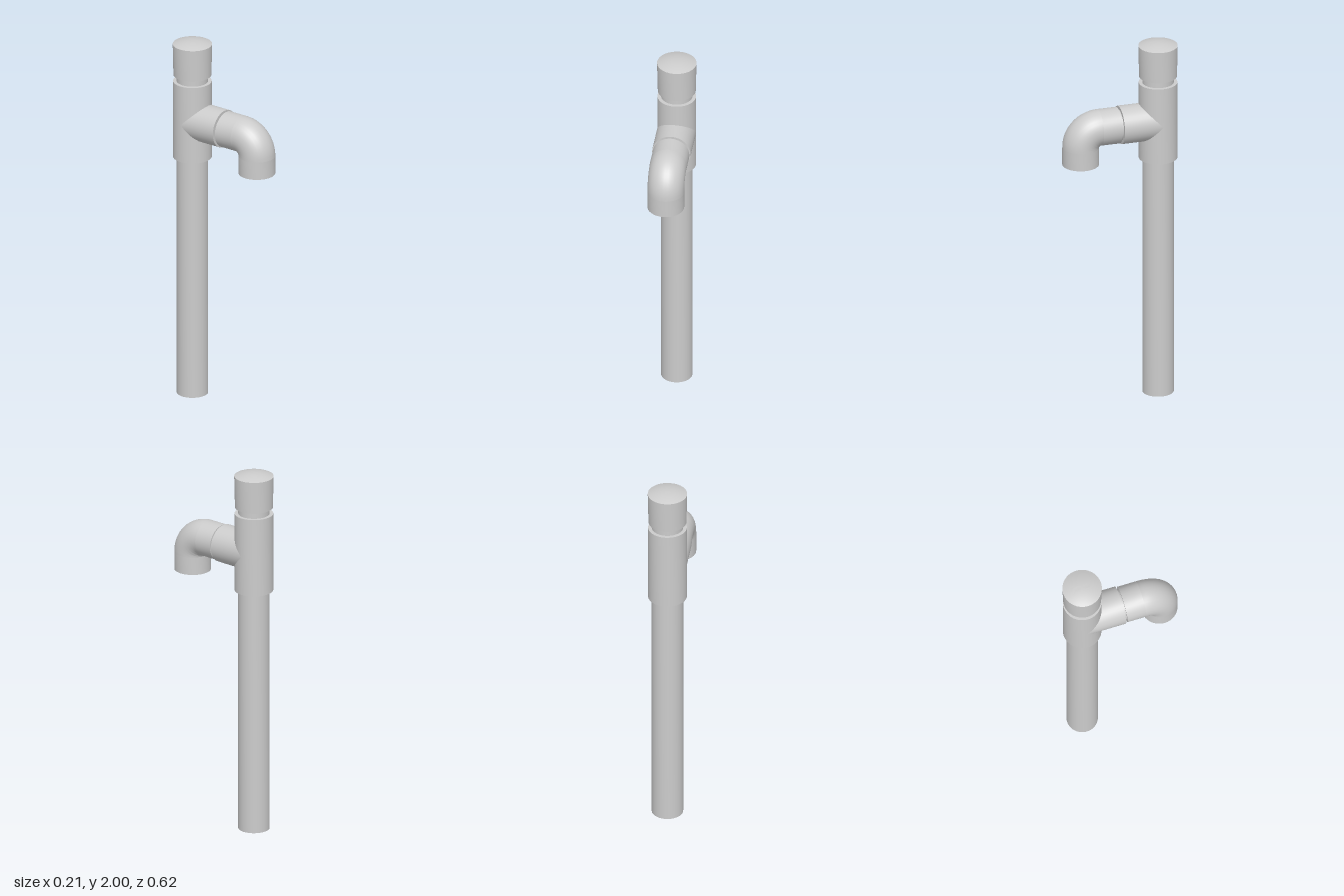
import * as THREE from 'three';
import { toCreasedNormals } from 'three/addons/utils/BufferGeometryUtils.js';

const SIDES = 32;
const PIPE_Z = -0.208; // axis of the upright pipe
const ARM_Y = 1.55; // axis of the side branch
const BORE = 0.072, PIPE_R = 0.083, TEE_R = 0.102, ELBOW_R = 0.097, BEND = 0.1;

const material = new THREE.MeshStandardMaterial({ color: 0xcccccc, side: THREE.DoubleSide });

function lathe(points) {
  return new THREE.LatheGeometry(points.map(([r, y]) => new THREE.Vector2(r, y)), SIDES);
}

// Hollow straight tube along y
function sleeve(inner, outer, from, to) {
  return lathe([[inner, from], [outer, from], [outer, to], [inner, to], [inner, from]]);
}

export function createModel() {
  const model = new THREE.Group();

  function add(name, geometry, parent = model) {
    const mesh = new THREE.Mesh(toCreasedNormals(geometry, 0.6), material);
    mesh.name = name;
    parent.add(mesh);
  }

  // Upright pipe, also visible as the neck below the cap
  add('uprightPipe', sleeve(BORE, PIPE_R, 0, 1.81).translate(0, 0, PIPE_Z));

  // Tee fitting: vertical body and a branch mitred to its surface
  const tee = new THREE.Group();
  tee.name = 'teeFitting';
  model.add(tee);
  add('teeBody', sleeve(PIPE_R, TEE_R, 1.34, 1.77).translate(0, 0, PIPE_Z), tee);

  const branch = sleeve(PIPE_R, TEE_R, 0, 0.003 - PIPE_Z).rotateX(Math.PI / 2);
  const p = branch.attributes.position;
  for (let i = 0; i < p.count; i++) {
    if (p.getZ(i) < 0.01) p.setZ(i, Math.sqrt(Math.max(0, TEE_R ** 2 - p.getX(i) ** 2)));
  }
  add('teeBranch', branch.translate(0, ARM_Y, PIPE_Z), tee);

  // Short pipe joining the tee and the elbow
  add('connectingPipe', sleeve(BORE, PIPE_R, -0.12, 0.06).rotateX(Math.PI / 2).translate(0, ARM_Y, 0));

  // Elbow spout: straight inlet, quarter bend with inner wall, straight outlet
  const elbow = new THREE.Group();
  elbow.name = 'elbowSpout';
  model.add(elbow);
  const bendZ = 0.116, bendY = ARM_Y - BEND;
  add('elbowInlet', sleeve(PIPE_R, ELBOW_R, 0.013, bendZ).rotateX(Math.PI / 2).translate(0, ARM_Y, 0), elbow);
  for (const [name, radius] of [['elbowBend', ELBOW_R], ['elbowInnerWall', PIPE_R]]) {
    add(name, new THREE.TorusGeometry(BEND, radius, SIDES, 16, Math.PI / 2)
      .rotateY(-Math.PI / 2).translate(0, bendY, bendZ), elbow);
  }
  add('elbowOutlet', sleeve(PIPE_R, ELBOW_R, 1.352, bendY).translate(0, 0, bendZ + BEND), elbow);

  // Cap with a shallow domed top
  const profile = [[0, 1.805], [0.1, 1.805], [0.104, 1.98]];
  for (let i = 1; i <= 8; i++) {
    const t = 1 - i / 8;
    profile.push([0.104 * t, 1.98 + 0.02 * (1 - t * t)]);
  }
  add('cap', lathe(profile).translate(0, 0, PIPE_Z));

  return model;
}
